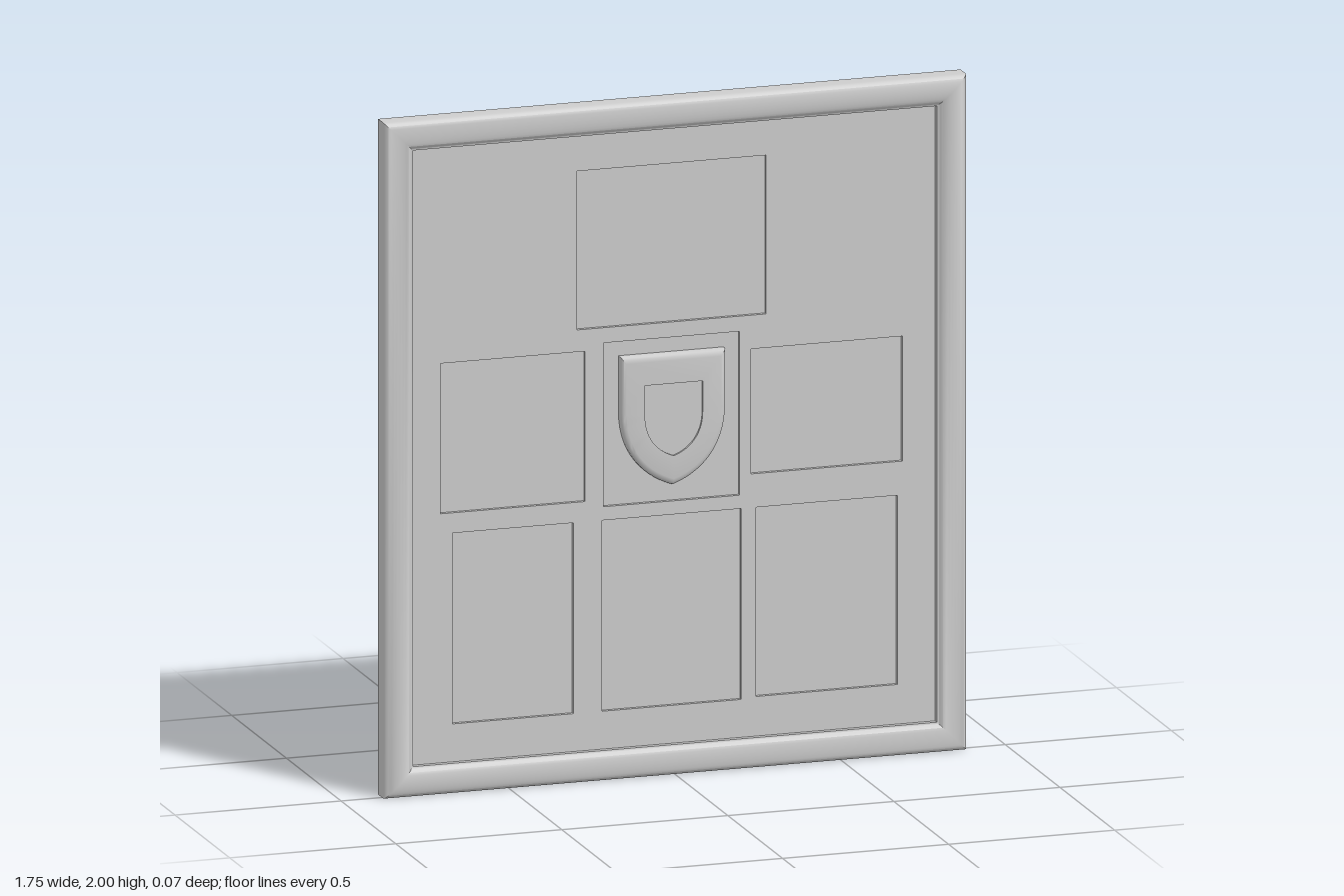
import * as THREE from 'three';
import { toCreasedNormals } from 'three/addons/utils/BufferGeometryUtils.js';

const W = 0.877, H = 2;              // half width, height
const BOARD_FRONT = 0, BOARD_BACK = -0.02, WINDOW_FLOOR = -0.012;
const material = new THREE.MeshStandardMaterial({ color: 0xcccccc });

function add(group, name, geometry) {
  const mesh = new THREE.Mesh(geometry, material);
  mesh.name = name;
  group.add(mesh);
  return mesh;
}

// Skin a list of closed counter-clockwise rings of [x, y, z], outside to inside
function loft(rings, crease) {
  const pos = [];
  const n = rings[0].length;
  for (let r = 0; r < rings.length - 1; r++) {
    for (let i = 0; i < n; i++) {
      const j = (i + 1) % n;
      const a = rings[r][i], b = rings[r][j], c = rings[r + 1][j], d = rings[r + 1][i];
      pos.push(...a, ...b, ...d, ...b, ...c, ...d);
    }
  }
  const g = new THREE.BufferGeometry();
  g.setAttribute('position', new THREE.Float32BufferAttribute(pos, 3));
  g.computeVertexNormals();
  return toCreasedNormals(g, crease);
}

function rectPath(Type, x0, x1, y0, y1) {
  const p = new Type();
  p.moveTo(x0, y0).lineTo(x1, y0).lineTo(x1, y1).lineTo(x0, y1).closePath();
  return p;
}

// Mitred moulding: profile of [inset, z] swept round the rectangle
function frameGeometry() {
  const profile = [[0, -0.035]];
  for (let i = 0; i <= 12; i++) {
    const a = Math.PI * (1 - 0.92 * i / 12);
    profile.push([0.042 + 0.042 * Math.cos(a), 0.012 + 0.023 * Math.sin(a)]);
  }
  profile.push([0.088, 0.016], [0.088, BOARD_BACK], [0.115, BOARD_BACK], [0.115, -0.035], [0, -0.035]);
  const rings = profile.map(([s, z]) => [
    [-W + s, s, z], [W - s, s, z], [W - s, H - s, z], [-W + s, H - s, z],
  ]);
  return loft(rings, 0.7);
}

// Shield outline, counter-clockwise, around its own centre
function shieldOutline() {
  const w = 0.158, h = 0.195;
  const s = new THREE.Shape();
  s.moveTo(w, h);
  s.lineTo(-w, h);
  s.lineTo(-w, 0.03);
  s.bezierCurveTo(-w, -0.09, -0.09, -0.165, 0, -h);
  s.bezierCurveTo(0.09, -0.165, w, -0.09, w, 0.03);
  s.closePath();
  const pts = s.getPoints(14);
  if (pts[0].distanceTo(pts[pts.length - 1]) < 1e-6) pts.pop();
  return pts;
}

export function createModel() {
  const model = new THREE.Group();
  model.name = 'framedDisplay';

  add(model, 'frame', frameGeometry());

  // Mount board with picture windows: [x0, x1, y0, y1]
  const windows = [
    [-0.29, 0.28, 1.335, 1.805],
    [-0.70, -0.265, 0.825, 1.27],
    [-0.21, 0.20, 0.805, 1.29],
    [0.235, 0.69, 0.865, 1.235],
    [-0.665, -0.30, 0.20, 0.765],
    [-0.215, 0.205, 0.20, 0.765],
    [0.25, 0.675, 0.205, 0.765],
  ];
  const edge = 0.06;                 // edge tucked inside the frame
  const board = rectPath(THREE.Shape, -W + edge, W - edge, edge, H - edge);
  board.holes = windows.map((w) => rectPath(THREE.Path, ...w));
  const boardGeo = new THREE.ExtrudeGeometry(board, {
    depth: BOARD_FRONT - WINDOW_FLOOR, bevelEnabled: false,
  });
  add(model, 'mountBoard', boardGeo).position.z = WINDOW_FLOOR;

  // Backing sheet forms the window floors and the rear panel
  const backing = add(model, 'backingPanel', new THREE.BoxGeometry(
    2 * (W - edge), H - 2 * edge, WINDOW_FLOOR - BOARD_BACK));
  backing.position.set(0, H / 2, (WINDOW_FLOOR + BOARD_BACK) / 2);

  // Shield with rounded rim and sunken centre: steps of [scale, z]
  const outline = shieldOutline();
  const steps = [
    [1, WINDOW_FLOOR], [1, 0.002], [0.985, 0.009], [0.95, 0.014], [0.9, 0.016],
    [0.55, 0.016], [0.55, 0.009], [0, 0.009],
  ];
  const rings = steps.map(([s, z]) => outline.map((p) => [p.x * s, p.y * s, z]));
  add(model, 'shield', loft(rings, 0.7)).position.set(-0.003, 1.05, 0);

  return model;
}
